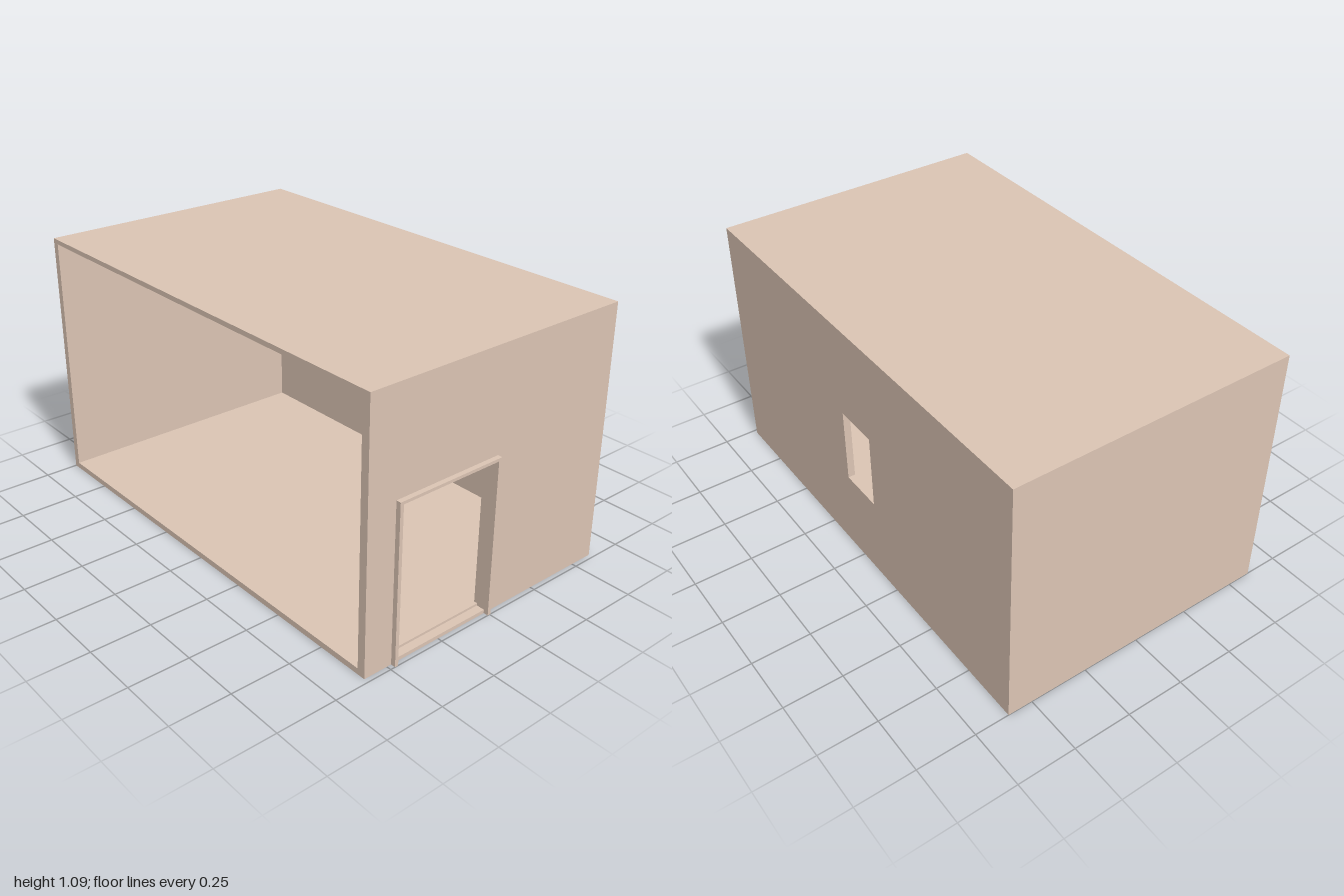
import * as THREE from 'three';

const material = new THREE.MeshStandardMaterial({ color: 0xdcc5b4, side: THREE.DoubleSide });

function rect([a0, a1, b0, b1], Type = THREE.Shape) {
  return new Type([[a0, b0], [a1, b0], [a1, b1], [a0, b1]].map(([a, b]) => new THREE.Vector2(a, b)));
}

// Flat panel across an axis. Rectangle is [z, y] for x, [x, z] for y, [x, y] for z.
function panel(name, axis, at, bounds, hole) {
  const shape = rect(bounds);
  if (hole) shape.holes.push(rect(hole, THREE.Path));
  const mesh = new THREE.Mesh(new THREE.ShapeGeometry(shape), material);
  if (axis === 'x') mesh.rotation.y = -Math.PI / 2;
  if (axis === 'y') mesh.rotation.x = Math.PI / 2;
  mesh.position[axis] = at;
  mesh.name = name;
  return mesh;
}

export function createModel() {
  const model = new THREE.Group();
  model.name = 'room';
  const out = { x0: -1, x1: 0.98, y0: 0, y1: 1.085, z0: -0.605, z1: 0.605 };
  const inn = { x0: -0.97, x1: 0.945, y0: 0.025, y1: 1.065, z0: -0.575, z1: 0.605 };
  const win = [-0.11, 0.085, 0.36, 0.685];
  const [doorZ0, doorZ1, doorTop] = [0.01, 0.465, 0.648];
  const sill = 0.015;

  // Outer and inner shells, the outer one open underneath
  for (const [label, s, doorBase] of [['outer', out, sill], ['inner', inn, 0.0251]]) {
    const side = [s.z0, s.z1, s.y0, s.y1];
    const flat = [s.x0, s.x1, s.z0, s.z1];
    model.add(
      panel(label + 'RightWall', 'x', s.x0, side),
      panel(label + 'DoorWall', 'x', s.x1, side, [doorZ0, doorZ1, doorBase, doorTop]),
      panel(label + 'BackWall', 'z', s.z0, [s.x0, s.x1, s.y0, s.y1], win),
      panel(label === 'outer' ? 'roof' : 'ceiling', 'y', s.y1, flat),
    );
  }
  model.add(panel('floor', 'y', inn.y0, [inn.x0, inn.x1, inn.z0, inn.z1]));

  // Rim joining both shells around the open front
  model.add(panel('frontRim', 'z', out.z1, [out.x0, out.x1, out.y0, out.y1],
    [inn.x0, inn.x1, inn.y0, inn.y1]));

  // Window reveal
  const reveal = new THREE.Group();
  reveal.name = 'windowReveal';
  for (const i of [0, 1]) {
    reveal.add(
      panel('windowJamb', 'x', win[i], [out.z0, inn.z0, win[2], win[3]]),
      panel(i ? 'windowHead' : 'windowSill', 'y', win[2 + i], [win[0], win[1], out.z0, inn.z0]),
    );
  }
  model.add(reveal);

  // Doorway threshold with the small step up to the floor
  model.add(
    panel('threshold', 'y', sill, [inn.x1, out.x1, doorZ0, doorZ1]),
    panel('thresholdStep', 'x', inn.x1, [doorZ0, doorZ1, sill, inn.y0]),
  );

  // Door frame standing proud of both wall faces
  const outline = [[-0.005, 0], [doorZ0, 0], [doorZ0, doorTop], [doorZ1, doorTop],
    [doorZ1, 0], [0.48, 0], [0.48, 0.66], [-0.005, 0.66]];
  const frame = new THREE.Mesh(
    new THREE.ExtrudeGeometry(new THREE.Shape(outline.map(([z, y]) => new THREE.Vector2(z, y))),
      { depth: 0.07, bevelEnabled: false }), material);
  frame.name = 'doorFrame';
  frame.rotation.y = -Math.PI / 2;
  frame.position.x = 1;
  model.add(frame);

  return model;
}
